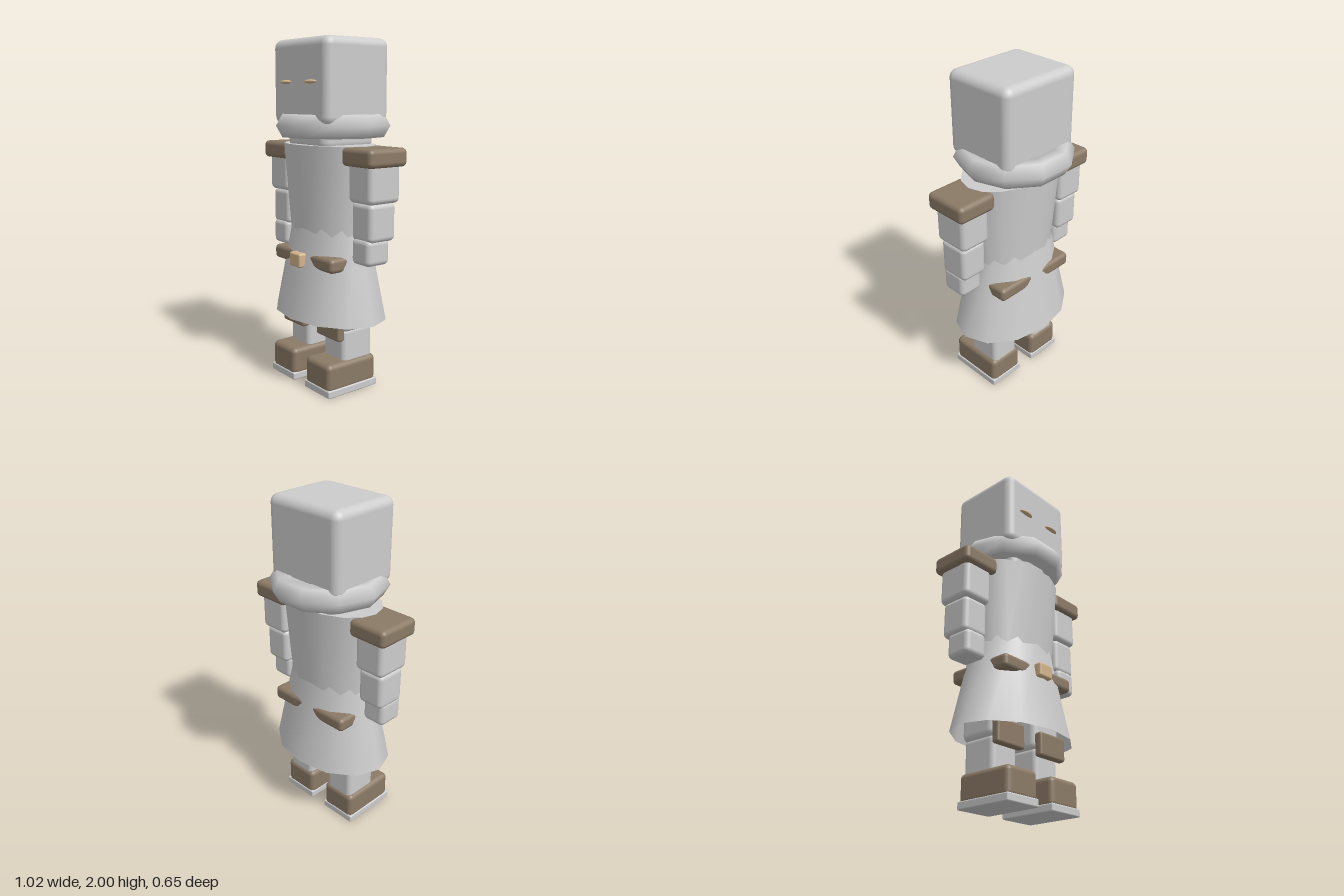
import * as THREE from 'three';
import { RoundedBoxGeometry } from 'three/addons/geometries/RoundedBoxGeometry.js';

export function createModel() {
  const model = new THREE.Group();
  model.name = 'blockFigure';

  const material = (name, color, side = THREE.FrontSide) => {
    const m = new THREE.MeshStandardMaterial({ color, side });
    m.name = name;
    return m;
  };
  const grey = material('lightGrey', 0xcccccc, THREE.DoubleSide);
  const brown = material('leatherBrown', 0x8b7a66);
  const tan = material('tan', 0xd2b48c);

  const add = (name, geometry, mat, x = 0, y = 0, z = 0) => {
    const mesh = new THREE.Mesh(geometry, mat);
    mesh.name = name;
    mesh.position.set(x, y, z);
    model.add(mesh);
    return mesh;
  };

  // Rounded block given by its extents on each axis
  const block = (name, mat, [x0, x1], [y0, y1], [z0, z1], radius) =>
    add(name, new RoundedBoxGeometry(x1 - x0, y1 - y0, z1 - z0, 3, radius), mat,
      (x0 + x1) / 2, (y0 + y1) / 2, (z0 + z1) / 2);

  // The same block on both sides of the body
  const pair = (name, mat, [x0, x1], ys, zs, radius) => {
    block('left' + name, mat, [x0, x1], ys, zs, radius);
    block('right' + name, mat, [-x1, -x0], ys, zs, radius);
  };

  // Tapered oval tube; radii are [x, z] and a vertex lies on each axis
  const ovalTube = (name, [y0, y1], bottom, top, sides, open) => {
    const geometry = new THREE.CylinderGeometry(top[0], bottom[0], y1 - y0, sides, 1, open);
    const p = geometry.attributes.position;
    for (let i = 0; i < p.count; i++) {
      const r = p.getY(i) > 0 ? top : bottom;
      p.setZ(i, p.getZ(i) * r[1] / r[0]);
    }
    geometry.computeVertexNormals();
    // Join the shading across the seam of the wall
    const n = geometry.attributes.normal;
    for (let row = 0; row < 2; row++) {
      const a = row * (sides + 1), b = a + sides;
      const v = new THREE.Vector3().fromBufferAttribute(n, a)
        .add(new THREE.Vector3().fromBufferAttribute(n, b)).normalize();
      n.setXYZ(a, v.x, v.y, v.z);
      n.setXYZ(b, v.x, v.y, v.z);
    }
    return add(name, geometry, grey, 0, (y0 + y1) / 2, 0.025);
  };

  // Head, neck and thick collar
  block('head', grey, [-0.26, 0.26], [1.52, 2.0], [-0.208, 0.242], 0.05);
  block('neck', grey, [-0.185, 0.185], [1.38, 1.56], [-0.165, 0.2], 0.05);
  const collar = new THREE.TorusGeometry(0.265, 0.075, 6, 10);
  collar.rotateX(-Math.PI / 2);
  add('collar', collar, grey, 0, 1.517, 0);

  // Narrow eyes
  for (const side of [-1, 1]) {
    const eye = add(side > 0 ? 'leftEye' : 'rightEye',
      new THREE.SphereGeometry(1, 16, 10), tan, side * 0.117, 1.76, 0.243);
    eye.scale.set(0.053, 0.011, 0.022);
  }

  // Coat body and flared skirt
  ovalTube('torso', [0.84, 1.412], [0.272, 0.187], [0.327, 0.223], 16, false);
  ovalTube('skirt', [0.41, 0.97], [0.4, 0.285], [0.27, 0.187], 12, true);

  // Belt whose corners stand out of the skirt, with buckle
  block('belt', brown, [-0.28, 0.28], [0.715, 0.798], [-0.187, 0.23], 0.025);
  block('buckle', tan, [-0.052, 0.052], [0.715, 0.797], [0.225, 0.28], 0.012);

  // Arms
  pair('ShoulderPad', brown, [0.26, 0.508], [1.308, 1.41], [-0.12, 0.152], 0.028);
  pair('UpperArm', grey, [0.288, 0.48], [1.11, 1.36], [-0.095, 0.125], 0.03);
  pair('Forearm', grey, [0.3, 0.468], [0.9, 1.115], [-0.075, 0.11], 0.03);
  pair('Hand', grey, [0.31, 0.458], [0.77, 0.918], [-0.042, 0.118], 0.03);

  // Legs and boots
  pair('Thigh', grey, [0.06, 0.278], [0.355, 0.72], [-0.1, 0.135], 0.04);
  pair('Shin', grey, [0.075, 0.262], [0.15, 0.375], [-0.09, 0.127], 0.03);
  pair('KneePad', brown, [0.065, 0.275], [0.312, 0.45], [0.125, 0.175], 0.015);
  pair('Boot', brown, [0.055, 0.282], [0.025, 0.19], [-0.1, 0.25], 0.03);
  pair('Sole', grey, [0.053, 0.288], [0, 0.045], [-0.103, 0.253], 0.008);

  return model;
}
